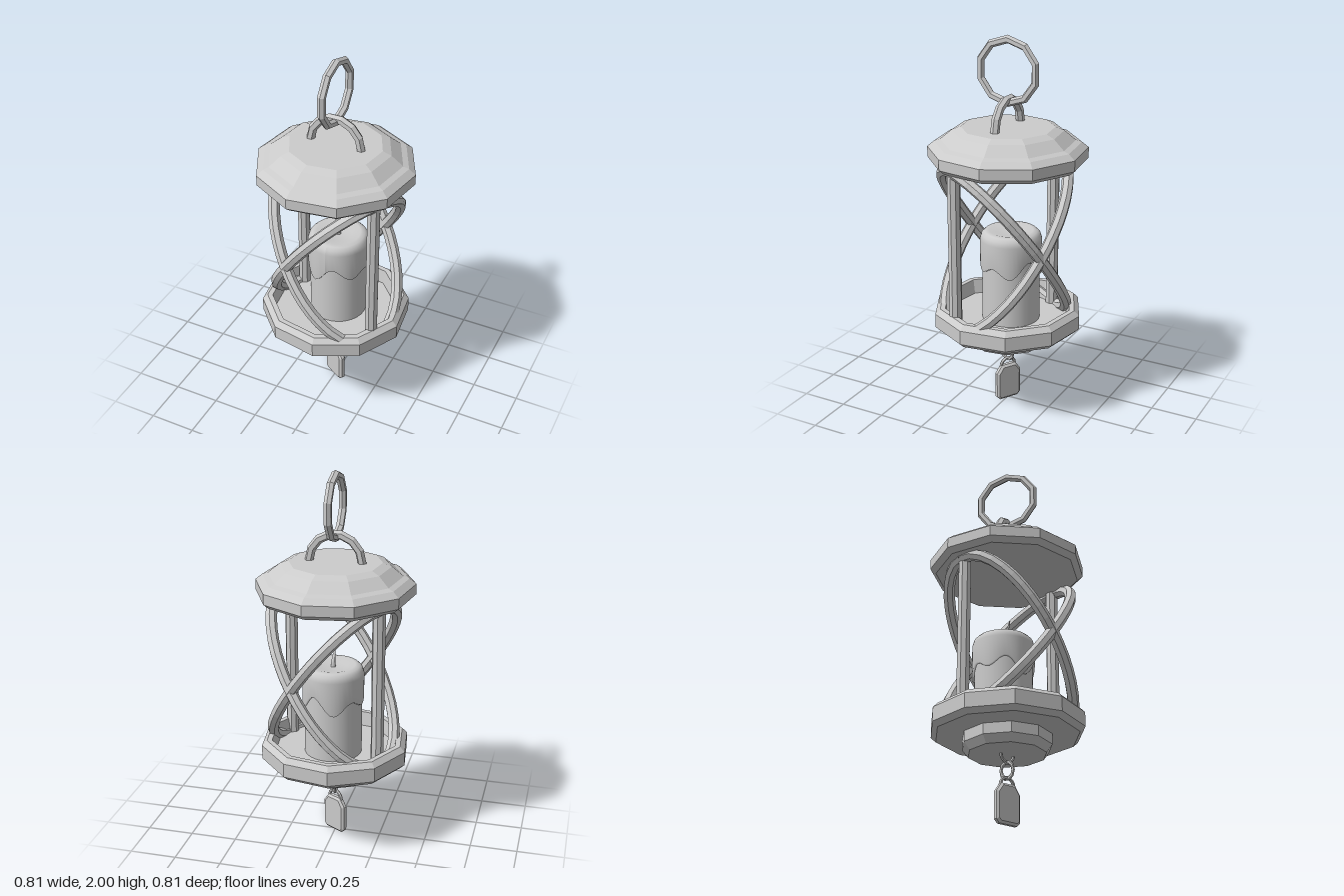
import * as THREE from 'three';

const flat = new THREE.MeshStandardMaterial({ color: 0xcccccc, flatShading: true });
const smooth = new THREE.MeshStandardMaterial({ color: 0xcccccc, side: THREE.DoubleSide });
const rad = THREE.MathUtils.degToRad;
const v3 = (x, y, z) => new THREE.Vector3(x, y, z);

export function createModel() {
  const model = new THREE.Group();
  model.name = 'candleLantern';

  const add = (name, geometry, material = flat, parent = model) => {
    const mesh = new THREE.Mesh(geometry, material);
    mesh.name = name;
    parent.add(mesh);
    return mesh;
  };
  const lathe = (points, sides, startDeg = 0) =>
    new THREE.LatheGeometry(points.map(([r, y]) => new THREE.Vector2(r, y)), sides, rad(startDeg));

  // Ten-sided roof and tray, turned against each other
  add('roof', lathe([[0, 1.355], [0.38, 1.355], [0.41, 1.38], [0.41, 1.435], [0.375, 1.463],
    [0.345, 1.473], [0.285, 1.522], [0.24, 1.54], [0, 1.54]], 10, 26.5));
  add('tray', lathe([[0, 0.355], [0.2, 0.355], [0.23, 0.395], [0.23, 0.45], [0.37, 0.45],
    [0.397, 0.475], [0.397, 0.55], [0.37, 0.577], [0.342, 0.577], [0.328, 0.5], [0, 0.5]], 10, 8));

  // Cage: two posts and four half-turn ribs that cross between them
  const cage = new THREE.Group();
  cage.name = 'cage';
  cage.position.set(0.012, 0, 0.01);
  model.add(cage);
  const postAngle = rad(61.5);
  for (const side of [0, Math.PI]) {
    const post = add('post', new THREE.CylinderGeometry(0.034, 0.034, 0.88, 8), flat, cage);
    const a = postAngle + side;
    post.position.set(0.306 * Math.sin(a), 0.93, 0.306 * Math.cos(a));
    for (const dir of [-1, 1]) {
      const points = [];
      for (let i = 0; i <= 16; i++) {
        const t = -Math.PI / 2 + (i / 16) * Math.PI;
        const phi = a + dir * (t + Math.PI / 2);
        points.push(v3(0.322 * Math.sin(phi), 0.925 + 0.435 * Math.sin(t), 0.322 * Math.cos(phi)));
      }
      add('rib', new THREE.TubeGeometry(new THREE.CatmullRomCurve3(points), 20, 0.031, 7), flat, cage);
    }
  }

  // Candle with a wax cap whose lower edge runs in drips
  const candle = new THREE.Group();
  candle.name = 'candle';
  candle.position.set(0.006, 0, -0.022);
  model.add(candle);
  add('candleBody', new THREE.CylinderGeometry(0.15, 0.152, 0.45, 32), smooth, candle).position.y = 0.72;
  const wax = lathe([[0.147, 0.8], [0.162, 0.805], [0.162, 0.945], [0.154, 0.972], [0.138, 0.988],
    [0.115, 0.992], [0.07, 0.98], [0, 0.978]], 48);
  const pos = wax.attributes.position;
  for (let i = 0; i < pos.count; i++) {
    if (pos.getY(i) > 0.85) continue;
    const a = Math.atan2(pos.getX(i), pos.getZ(i));
    pos.setY(i, pos.getY(i) + 0.032 * Math.sin(5 * a + 0.6) + 0.02 * Math.sin(3 * a));
  }
  wax.computeVertexNormals();
  add('waxCap', wax, smooth, candle);
  const wickPath = new THREE.CatmullRomCurve3(
    [v3(0, 0.97, 0), v3(0, 1.01, 0.002), v3(0, 1.045, 0.022), v3(0, 1.095, 0.036)]);
  const wick = new THREE.TubeGeometry(wickPath, 10, 0.014, 7);
  // Taper the wick to its tip
  const wp = wick.attributes.position;
  for (let i = 0; i < wp.count; i++) {
    const u = Math.floor(i / 8) / 10;
    const c = wickPath.getPointAt(u);
    const p = v3().fromBufferAttribute(wp, i).sub(c).multiplyScalar(1 - 0.85 * u).add(c);
    wp.setXYZ(i, p.x, p.y, p.z);
  }
  wick.computeVertexNormals();
  add('wick', wick, smooth, candle);

  // Roof handle and the hanging ring through it
  const handle = add('roofHandle', new THREE.TorusGeometry(0.137, 0.023, 6, 7, Math.PI));
  handle.position.y = 1.54;
  handle.scale.y = 1.03;
  const ring = add('hangingRing', new THREE.TorusGeometry(0.16, 0.021, 6, 10));
  ring.rotation.set(0, Math.PI / 2, Math.PI / 2, 'YXZ');
  ring.position.y = 1.822;

  // Pendant below: eye, link and a bevelled tag with its own loop
  const turn = -rad(30);
  const eye = add('trayEye', new THREE.TorusGeometry(0.04, 0.008, 6, 8, Math.PI));
  eye.rotation.set(0, turn, Math.PI, 'YXZ');
  eye.position.y = 0.357;
  const link = add('chainLink', new THREE.TorusGeometry(0.032, 0.009, 6, 10));
  link.rotation.y = Math.PI / 2;
  link.scale.y = 1.35;
  link.position.y = 0.276;

  const tag = new THREE.Group();
  tag.name = 'tag';
  tag.rotation.y = turn;
  model.add(tag);
  const loop = add('tagLoop', new THREE.TorusGeometry(0.043, 0.009, 6, 8, Math.PI), flat, tag);
  loop.position.y = 0.195;
  const outline = new THREE.Shape([[-0.05, 0.012], [0.05, 0.012], [0.062, 0.024], [0.062, 0.155],
    [0.036, 0.192], [-0.036, 0.192], [-0.062, 0.155], [-0.062, 0.024]].map(([x, y]) => new THREE.Vector2(x, y)));
  const plate = new THREE.ExtrudeGeometry(outline,
    { depth: 0.018, bevelEnabled: true, bevelThickness: 0.01, bevelSize: 0.012, bevelSegments: 1 });
  plate.translate(0, 0, -0.009);
  add('tagPlate', plate, flat, tag);

  return model;
}
